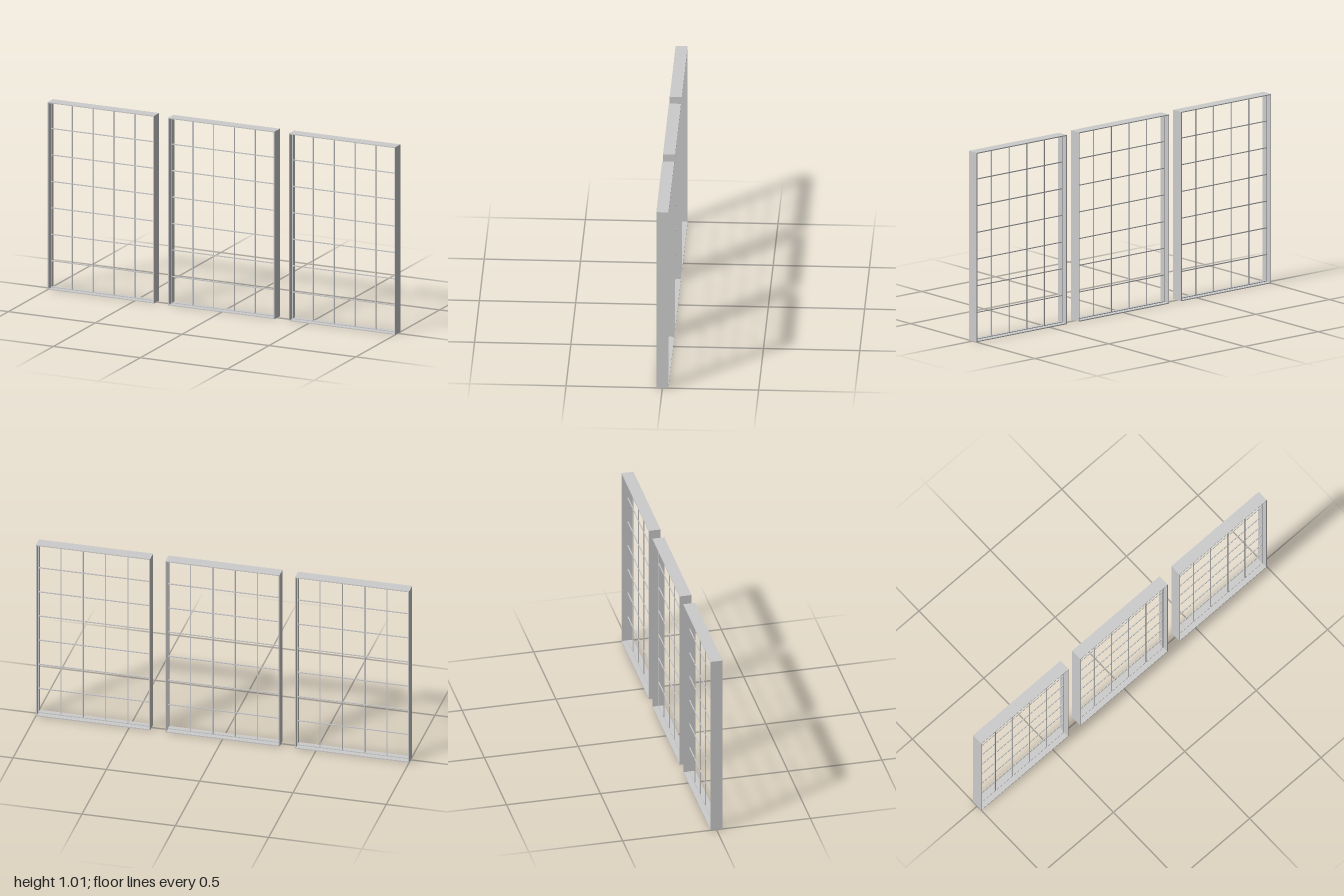
import * as THREE from 'three';

const W = 0.612, H = 1.01, DEPTH = 0.063; // panel size
const T = 0.005;                          // frame sheet thickness
const BAR = 0.005;                        // lattice bar thickness
const COLS = 5, ROWS = 7;

const material = new THREE.MeshStandardMaterial({ color: 0xcccccc, flatShading: true });

function box(parent, name, w, h, d, x, y, z = 0) {
  const mesh = new THREE.Mesh(new THREE.BoxGeometry(w, h, d), material);
  mesh.name = name;
  mesh.position.set(x, y, z);
  parent.add(mesh);
}

function createPanel() {
  const panel = new THREE.Group();

  // Deep, thin-walled surround
  const frame = new THREE.Group();
  frame.name = 'frame';
  for (const s of [-1, 1]) {
    box(frame, s > 0 ? 'leftJamb' : 'rightJamb', T, H, DEPTH, s * (W - T) / 2, H / 2);
    box(frame, s > 0 ? 'topRail' : 'bottomRail', W - 2 * T, T, DEPTH, 0, H / 2 + s * (H - T) / 2);
  }
  panel.add(frame);

  // Lattice in the middle plane, with edge bars along the surround
  const lattice = new THREE.Group();
  lattice.name = 'lattice';
  const inset = T + BAR / 2 - 0.001;
  for (let i = 0; i <= COLS; i++) {
    const x = THREE.MathUtils.lerp(-W / 2 + inset, W / 2 - inset, i / COLS);
    box(lattice, 'verticalBar', BAR, H - 2 * T, BAR, x, H / 2);
  }
  for (let j = 0; j <= ROWS; j++) {
    const y = THREE.MathUtils.lerp(inset, H - inset, j / ROWS);
    box(lattice, 'horizontalBar', W - 2 * T, BAR, BAR, 0, y);
  }
  panel.add(lattice);
  return panel;
}

export function createModel() {
  const model = new THREE.Group();
  model.name = 'windowPanels';
  ['rightPanel', 'middlePanel', 'leftPanel'].forEach((name, i) => {
    const panel = createPanel();
    panel.name = name;
    panel.position.x = (i - 1) * (1 - W / 2);
    model.add(panel);
  });
  return model;
}
